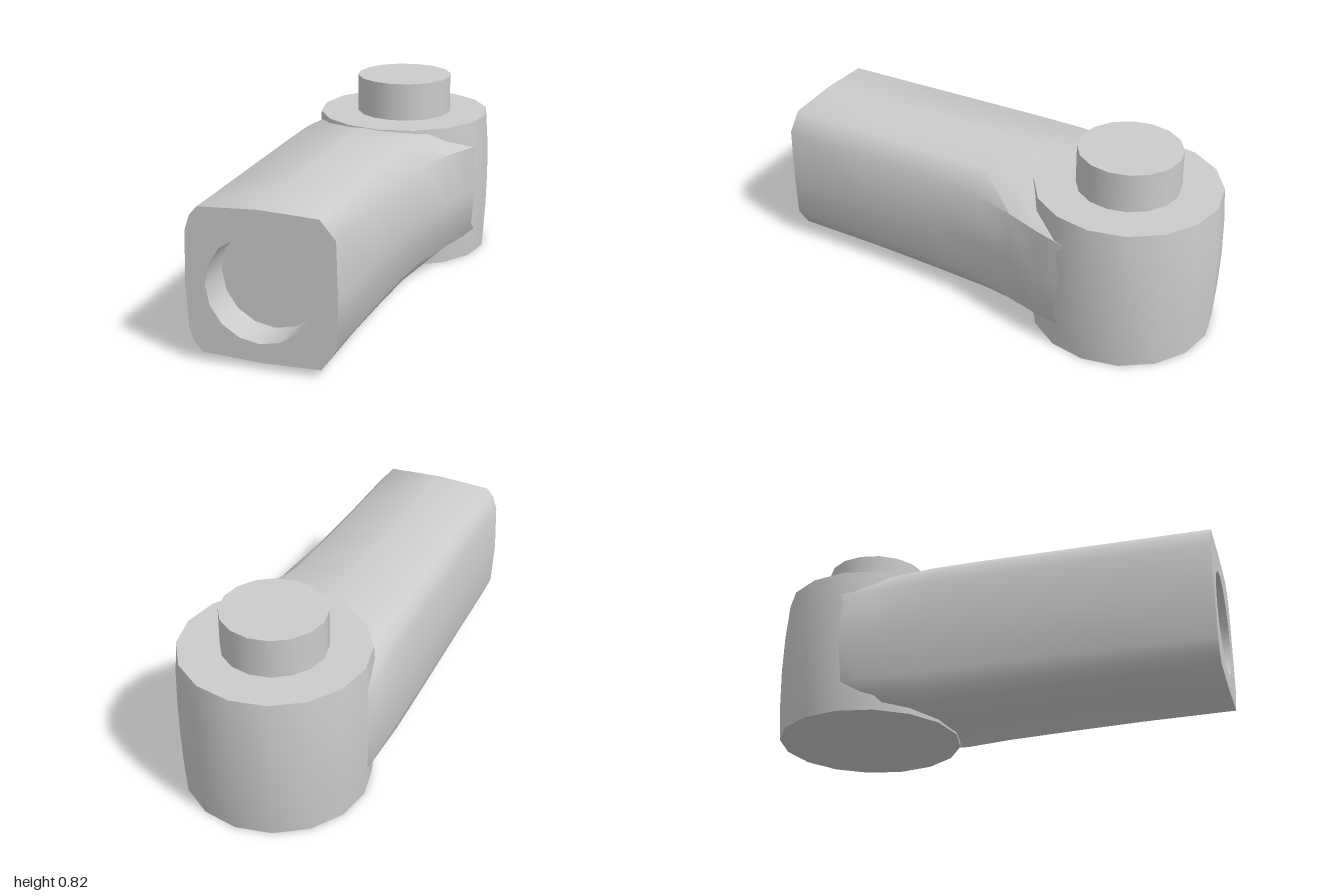
import * as THREE from 'three';
import { toCreasedNormals } from 'three/addons/utils/BufferGeometryUtils.js';

const HEAD_Z = -0.59, SIDES = 16, HOLE_R = 0.22, HOLE_DEPTH = 0.16;
const HOLE_X = -0.11, HOLE_Y = 0.325;

// Arm stations: z, right flank x, right chamfer x, bottom y, top y
const STATIONS = [
  [1, 0.21, 0.14, 0.027, 0.651],
  [0.6, 0.22, 0.145, 0.022, 0.651],
  [0.3, 0.235, 0.155, 0.016, 0.651],
  [0.0, 0.265, 0.17, 0.01, 0.651],
  [-0.2, 0.325, 0.2, 0.008, 0.648],
  [-0.35, 0.368, 0.22, 0.02, 0.635],
  [-0.47, 0.388, 0.26, 0.03, 0.62],
  [HEAD_Z, 0.4, 0.3, 0.04, 0.61],
];

// Softly bulged, chamfered outline, counter-clockwise seen from the front
function outline([, side, edge, bottom, top]) {
  const mid = (edge - 0.35) / 2;
  const flank = side - 0.006, high = Math.min(0.57, top - 0.09);
  return [
    [side, 0.33], [flank, high], [edge, top - 0.012], [mid, top],
    [-0.35, top - 0.012], [-0.384, top - 0.05], [-0.404, 0.54], [-0.413, 0.33],
    [-0.404, 0.13], [-0.384, bottom + 0.05], [-0.35, bottom + 0.012],
    [mid, bottom], [edge, bottom + 0.005], [flank, 0.125],
  ];
}

// Skin joining the outlines from front to back
function armSkin() {
  const n = outline(STATIONS[0]).length, pos = [], idx = [];
  for (const s of STATIONS) for (const [x, y] of outline(s)) pos.push(x, y, s[0]);
  for (let i = 0; i < STATIONS.length - 1; i++) {
    for (let j = 0; j < n; j++) {
      const k = (j + 1) % n, a = i * n + j, b = i * n + k;
      idx.push(a, a + n, b, b, a + n, b + n);
    }
  }
  const g = new THREE.BufferGeometry();
  g.setAttribute('position', new THREE.Float32BufferAttribute(pos, 3));
  g.setIndex(idx);
  return toCreasedNormals(g, 0.95);
}

export function createModel() {
  const group = new THREE.Group();
  const grey = new THREE.MeshStandardMaterial({ color: 0xcccccc });
  const inner = new THREE.MeshStandardMaterial({ color: 0xcccccc, side: THREE.BackSide });
  const add = (name, geometry, x, y, z, material = grey) => {
    const mesh = new THREE.Mesh(geometry, material);
    mesh.name = name;
    mesh.position.set(x, y, z);
    group.add(mesh);
  };

  // Arm flaring into the head
  add('arm', armSkin(), 0, 0, 0);

  // Front face with the round socket
  const face = new THREE.Shape(outline(STATIONS[0]).map(([x, y]) => new THREE.Vector2(x, y)));
  const hole = new THREE.Path();
  hole.absarc(HOLE_X, HOLE_Y, HOLE_R, 0, Math.PI * 2, true);
  face.holes.push(hole);
  add('armFrontFace', new THREE.ShapeGeometry(face, SIDES / 2), 0, 0, 1);
  const wall = new THREE.CylinderGeometry(HOLE_R, HOLE_R, HOLE_DEPTH, SIDES, 1, true);
  wall.rotateX(Math.PI / 2);
  add('socketWall', wall, HOLE_X, HOLE_Y, 1 - HOLE_DEPTH / 2, inner);
  add('socketFloor', new THREE.CircleGeometry(HOLE_R, SIDES), HOLE_X, HOLE_Y, 1 - HOLE_DEPTH);

  // Barrel-shaped head
  const profile = [[0, 0], [0.398, 0], [0.408, 0.16], [0.412, 0.325], [0.408, 0.49], [0.396, 0.65], [0, 0.65]]
    .map(([r, y]) => new THREE.Vector2(r, y));
  add('head', toCreasedNormals(new THREE.LatheGeometry(profile, SIDES), 0.9), 0, 0, HEAD_Z);

  // Pin on top of the head
  add('pin', new THREE.CylinderGeometry(0.22, 0.22, 0.18, SIDES), 0, 0.732, HEAD_Z);

  return group;
}
